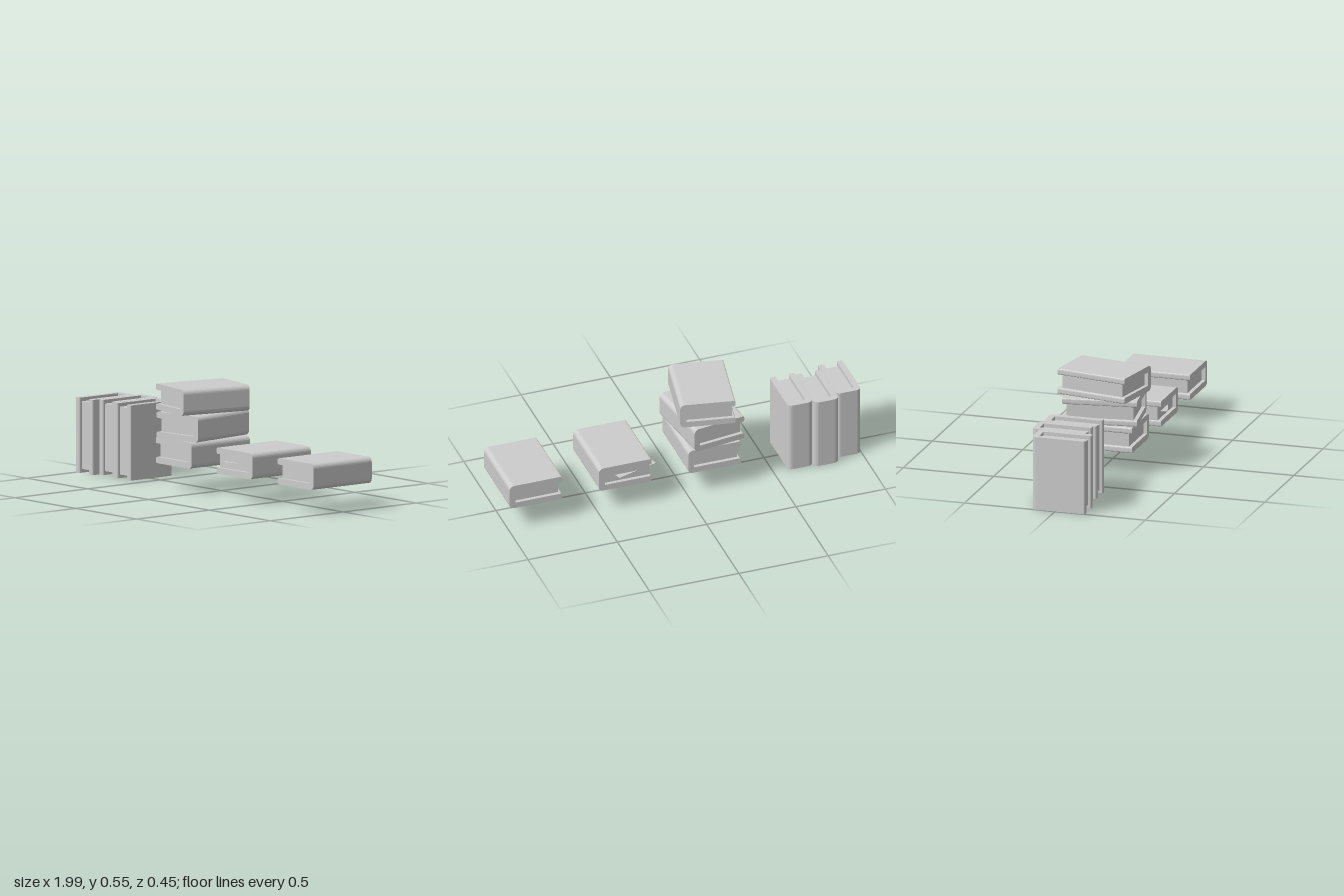
import * as THREE from 'three';

const W = 0.295, T = 0.139, L = 0.4; // width, thickness, length of a book
const COVER = 0.033;                 // cover and spine thickness
const cloth = new THREE.MeshStandardMaterial({ color: 0xcccccc });
cloth.name = 'paleGrey';

// C-shaped cover profile with a rounded spine at +x and softened cover tips
function coverGeometry() {
  const w = W / 2, t = T / 2, i = t - COVER, r = 0.026, e = 0.009;
  const s = new THREE.Shape();
  s.moveTo(-w + e, -t);
  s.lineTo(w - r, -t);
  s.absarc(w - r, -t + r, r, -Math.PI / 2, 0, false);
  s.lineTo(w, t - r);
  s.absarc(w - r, t - r, r, 0, Math.PI / 2, false);
  s.lineTo(-w + e, t);
  s.quadraticCurveTo(-w, t, -w, t - e);
  s.lineTo(-w, i + e);
  s.quadraticCurveTo(-w, i, -w + e, i);
  s.lineTo(w - COVER, i);
  s.lineTo(w - COVER, -i);
  s.lineTo(-w + e, -i);
  s.quadraticCurveTo(-w, -i, -w, -i - e);
  s.lineTo(-w, -t + e);
  s.quadraticCurveTo(-w, -t, -w + e, -t);
  const g = new THREE.ExtrudeGeometry(s, { depth: L, bevelEnabled: false, curveSegments: 3 });
  return g.translate(0, 0, -L / 2);
}

export function createModel() {
  const model = new THREE.Group();
  model.name = 'books';
  const coverGeo = coverGeometry();

  function addBook(name, x, y, z, turn = 0, standing = false, pageInset = 0.016) {
    const book = new THREE.Group();
    book.name = name;
    const cover = new THREE.Mesh(coverGeo, cloth);
    cover.name = 'cover';
    // page block fills the space between the covers
    const pageW = W - COVER - pageInset;
    const pages = new THREE.Mesh(new THREE.BoxGeometry(pageW, T - 2 * COVER, L - 0.04), cloth);
    pages.name = 'pages';
    pages.position.x = -W / 2 + pageInset + pageW / 2;
    book.add(cover, pages);
    book.position.set(x, y, z);
    book.rotation.order = 'YXZ';
    book.rotation.set(standing ? -Math.PI / 2 : 0, standing ? Math.PI / 2 : turn, 0);
    model.add(book);
    return book;
  }

  // upright row, spines to the back
  [0.018, -0.025, -0.008].forEach((z, i) =>
    addBook('standingBook' + (i + 1), -0.93 + i * 0.14, L / 2, z, 0, true));

  // twisted stack
  [0, 8, -10.6].forEach((deg, i) =>
    addBook('stackedBook' + (i + 1), -0.152, 0.202 + i * T, 0, THREE.MathUtils.degToRad(deg)));

  // single books, the first with a loose sheet sticking out
  const openBook = addBook('bookWithLooseSheet', 0.348, 0.202, 0, 0, false, 0.004);
  addBook('singleBook', 0.848, 0.202, 0);
  const sheet = new THREE.Mesh(new THREE.BoxGeometry(0.24, 0.002, 0.378), cloth);
  sheet.name = 'looseSheet';
  sheet.position.x = -0.022;
  sheet.rotation.y = THREE.MathUtils.degToRad(17);
  openBook.add(sheet);

  return model;
}
